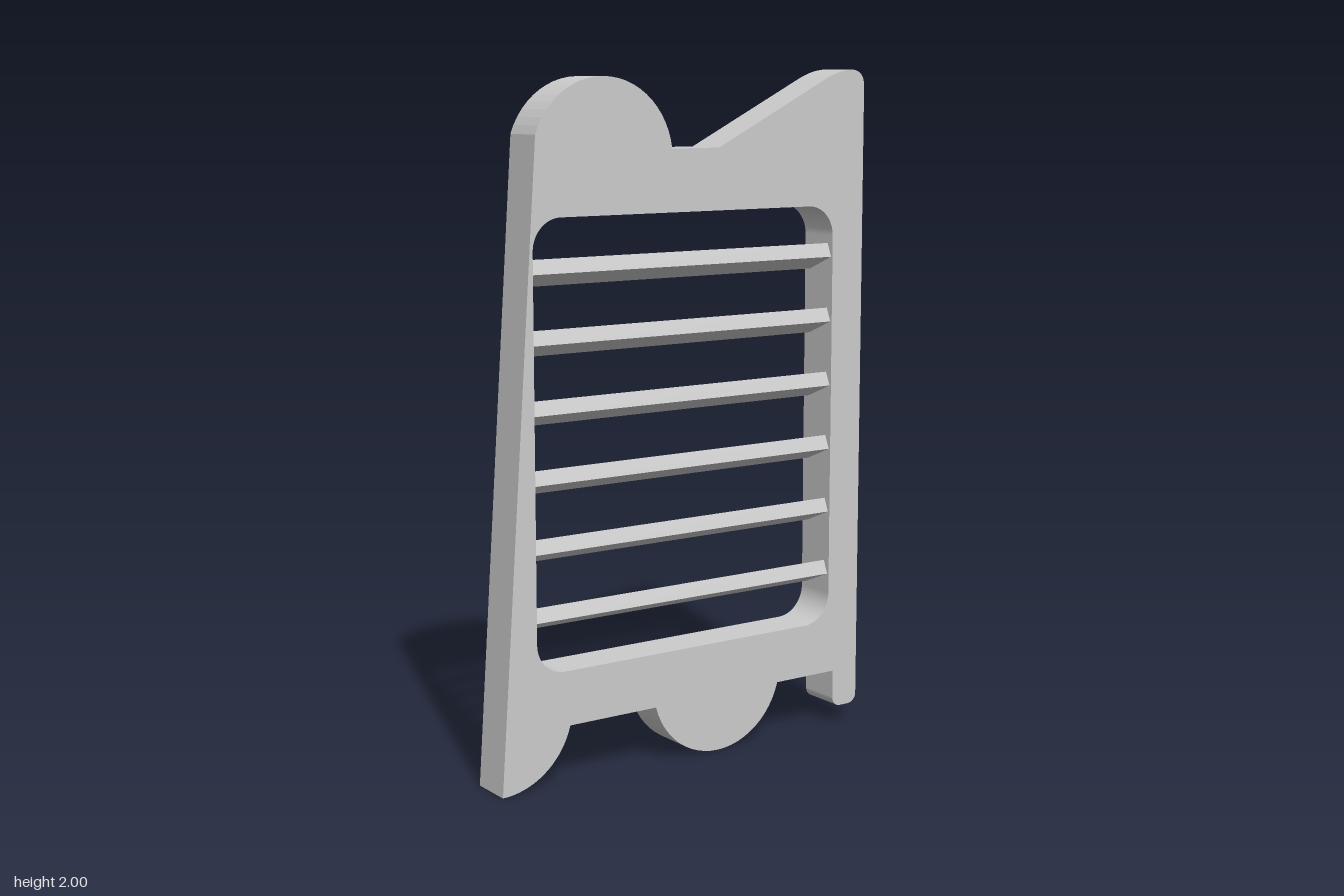
import * as THREE from 'three';

const DEPTH = 0.13;
const R = 0.23; // radius of all scallops

// Outer silhouette, traced clockwise from the upper left corner
function outline() {
  const s = new THREE.Shape();
  const dip = Math.asin(0.06 / R);
  s.moveTo(-0.635, 1.825);
  // round crest
  s.absarc(-0.29, 1.75, R, Math.PI - Math.asin(0.075 / R), Math.asin(0.03 / R), true);
  // valley and sloping horn
  s.lineTo(0.1, 1.78);
  s.lineTo(0.485, 1.972);
  s.quadraticCurveTo(0.535, 1.997, 0.58, 2);
  s.quadraticCurveTo(0.632, 2, 0.632, 1.95);
  // rounded right foot
  s.absarc(0.602, 0.085, 0.03, 0, -Math.PI / 2, true);
  s.absarc(0.57, 0.085, 0.03, -Math.PI / 2, -Math.PI, true);
  s.lineTo(0.54, 0.17);
  // hanging half round, then quarter round at the left
  s.absarc(0.102, R, R, -dip, dip - Math.PI, true);
  s.absarc(-0.635, R, R, -dip, -Math.PI / 2, true);
  s.closePath();
  return s;
}

// Rounded rectangular opening
function opening(x, y0, y1, r) {
  const p = new THREE.Path();
  p.absarc(x - r, y1 - r, r, 0, Math.PI / 2);
  p.absarc(-x + r, y1 - r, r, Math.PI / 2, Math.PI);
  p.absarc(-x + r, y0 + r, r, Math.PI, Math.PI * 1.5);
  p.absarc(x - r, y0 + r, r, Math.PI * 1.5, Math.PI * 2);
  p.closePath();
  return p;
}

export function createModel() {
  const group = new THREE.Group();
  group.name = 'louveredDoor';
  const material = new THREE.MeshStandardMaterial({ color: 0xcccccc, flatShading: true });

  const shape = outline();
  shape.holes.push(opening(0.519, 0.33, 1.602, 0.09));
  const frameGeometry = new THREE.ExtrudeGeometry(shape, {
    depth: DEPTH, bevelEnabled: false, curveSegments: 12,
  });
  frameGeometry.translate(0, 0, -DEPTH / 2);
  const frame = new THREE.Mesh(frameGeometry, material);
  frame.name = 'frame';
  group.add(frame);

  // Tilted slats, higher at the front
  const slatGeometry = new THREE.BoxGeometry(1.038, 0.0435, 0.108);
  for (let i = 0; i < 6; i++) {
    const slat = new THREE.Mesh(slatGeometry, material);
    slat.name = `slat${i + 1}`;
    slat.position.y = 0.478 + i * 0.194;
    slat.rotation.x = THREE.MathUtils.degToRad(-23);
    group.add(slat);
  }
  return group;
}
